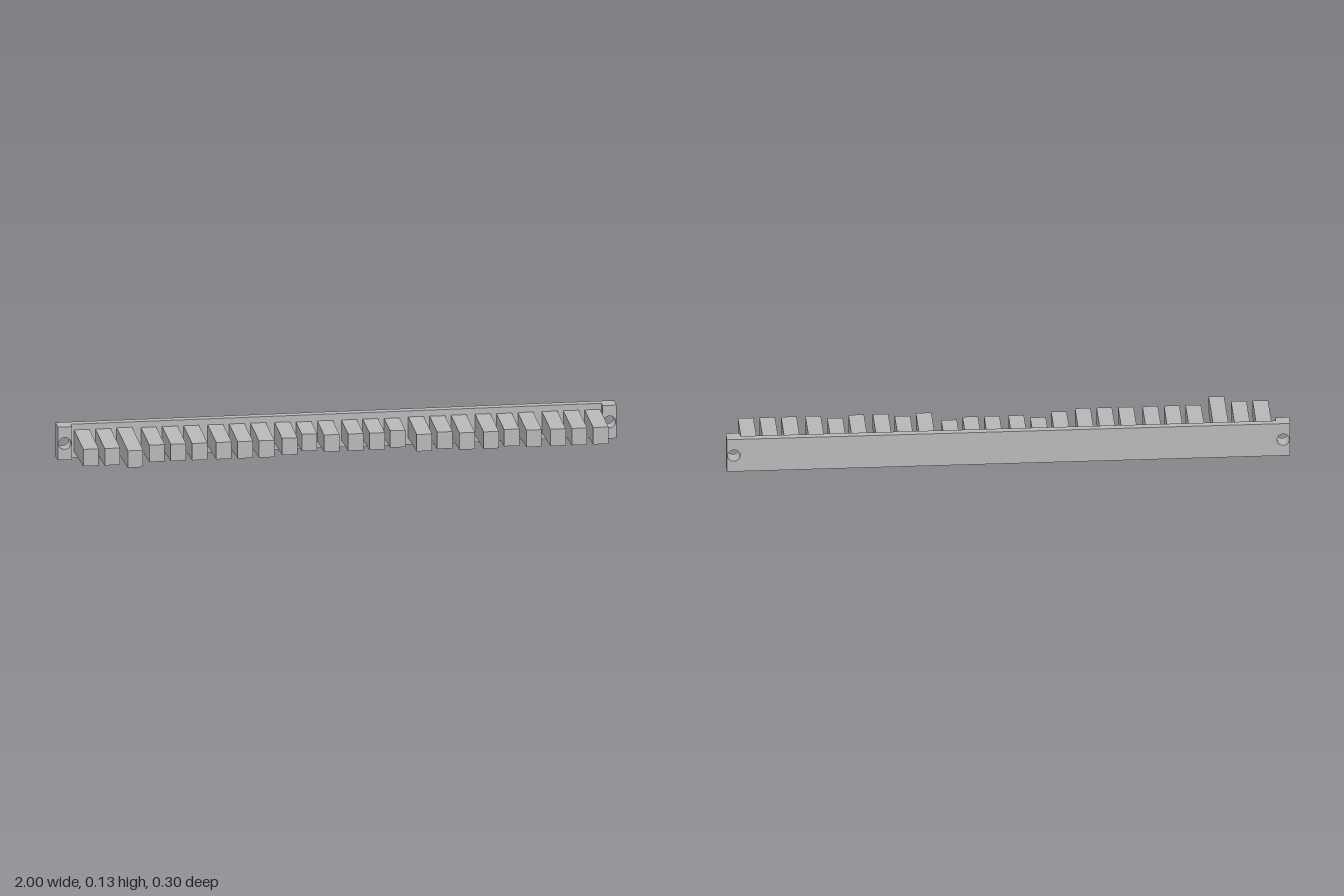
import * as THREE from 'three';

const BACK = -0.148, FACE = -0.12, EAR_FRONT = -0.092;
const MID_Y = 0.063, HALF_H = 0.063, DRAFT = 0.04;

// Rectangle in x and y (y measured from the bar's middle), with round holes
function outline(x0, x1, holeXs) {
  const shape = new THREE.Shape([
    new THREE.Vector2(x0, -HALF_H), new THREE.Vector2(x1, -HALF_H),
    new THREE.Vector2(x1, HALF_H), new THREE.Vector2(x0, HALF_H),
  ]);
  for (const x of holeXs) {
    const hole = new THREE.Path();
    hole.absarc(x, 0, 0.0225, 0, Math.PI * 2, true);
    shape.holes.push(hole);
  }
  return shape;
}

// Extrude along z, with top and bottom drawing in slightly towards the front
function draftedPlate(shape, z0, z1) {
  const geo = new THREE.ExtrudeGeometry(shape, { depth: z1 - z0, bevelEnabled: false, curveSegments: 12 });
  geo.translate(0, 0, z0);
  const p = geo.attributes.position;
  for (let i = 0; i < p.count; i++) {
    const scale = 1 - (DRAFT * (p.getZ(i) - BACK)) / HALF_H;
    p.setY(i, MID_Y + p.getY(i) * scale);
  }
  geo.computeVertexNormals();
  return geo;
}

// Tooth with a fixed end face, thickening towards its root
function toothGeometry(zEnd) {
  const root = FACE - 0.01, endHalf = 0.031;
  const rootHalf = endHalf + (zEnd - root) * 0.038;
  const geo = new THREE.BoxGeometry(0.055, 2, zEnd - root);
  geo.translate(0, 0, (zEnd + root) / 2);
  const p = geo.attributes.position;
  for (let i = 0; i < p.count; i++) {
    const half = p.getZ(i) > (zEnd + root) / 2 ? endHalf : rootHalf;
    p.setY(i, 0.064 + p.getY(i) * half);
  }
  geo.computeVertexNormals();
  return geo;
}

export function createModel() {
  const model = new THREE.Group();
  model.name = 'toothedBar';
  const grey = new THREE.MeshStandardMaterial({ color: 0xb8b8b8 });
  grey.name = 'grey';

  const add = (name, geo, parent = model) => {
    const mesh = new THREE.Mesh(geo, grey);
    mesh.name = name;
    parent.add(mesh);
    return mesh;
  };

  // Long back plate with a screw hole at each end
  add('backPlate', draftedPlate(outline(-1, 1, [-0.975, 0.975]), BACK, FACE));

  // Raised mounting ears around the screw holes
  add('leftEar', draftedPlate(outline(0.95, 1, [0.975]), FACE, EAR_FRONT));
  add('rightEar', draftedPlate(outline(-1, -0.95, [-0.975]), FACE, EAR_FRONT));

  // Eight groups of three teeth, each tooth a whole number of steps long
  const steps = [4, 4, 6, 3, 3, 3, 3, 3, 3, 2, 0, 1, 1, 1, 0, 3, 2, 3, 3, 2, 3, 3, 3, 3];
  const teeth = new THREE.Group();
  teeth.name = 'teeth';
  steps.forEach((n, i) => {
    const x = -0.834 + 0.2393 * Math.floor(i / 3) + 0.0765 * ((i % 3) - 1);
    add('tooth' + (i + 1), toothGeometry(0.024 + 0.021 * n), teeth).position.x = x;
  });
  model.add(teeth);
  return model;
}
